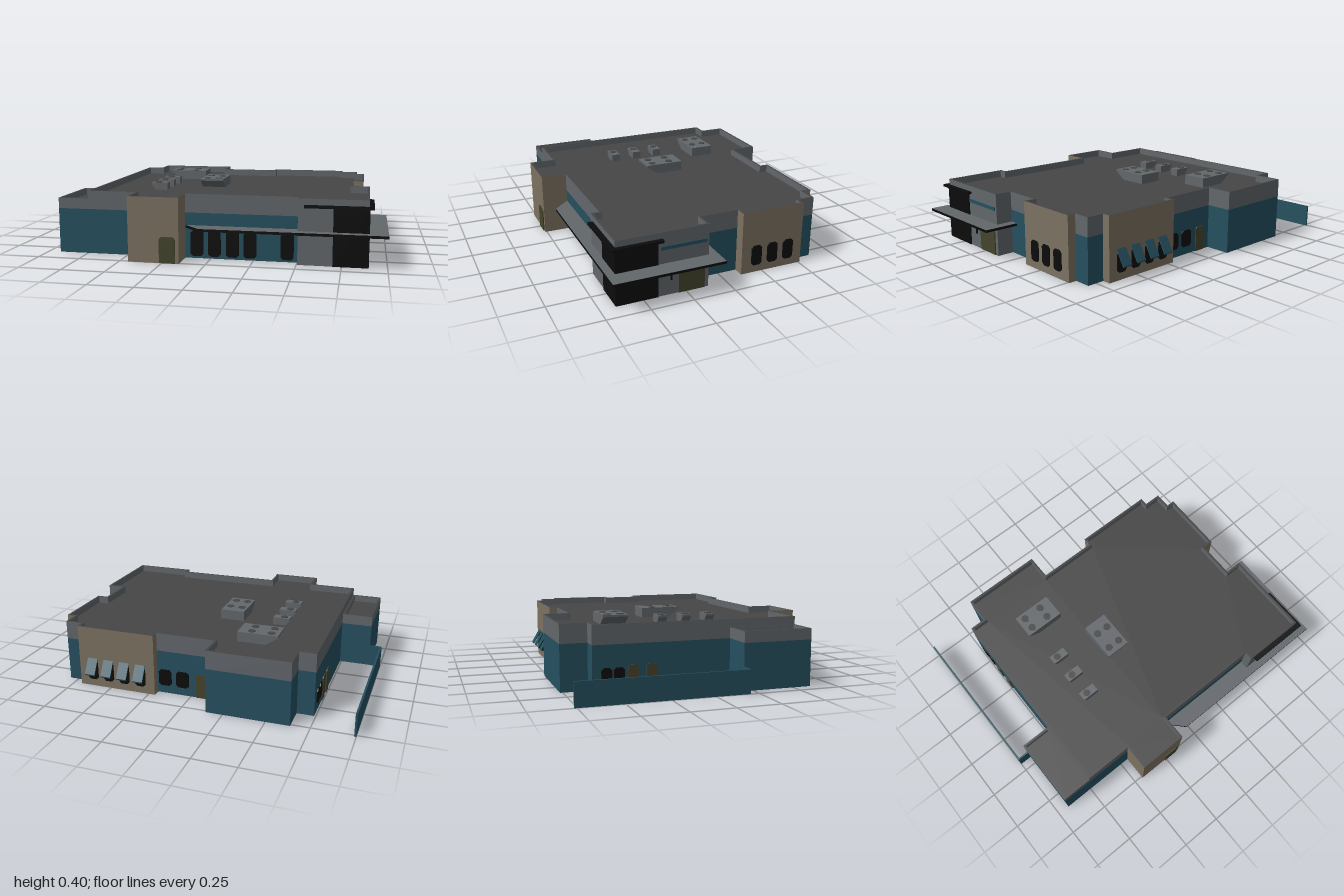
import * as THREE from 'three';

const material = (name, color) => {
  const m = new THREE.MeshStandardMaterial({ color });
  m.name = name;
  return m;
};

export function createModel() {
  const teal = material('teal', 0x25505f);
  const grey = material('grey', 0x62676b);
  const tan = material('tan', 0x7c7261);
  const dark = material('roof grey', 0x464646);
  const black = material('black', 0x0c0c0c);
  const olive = material('olive', 0x45442d);
  const model = new THREE.Group();

  const add = (name, geometry, mat, x = 0, y = 0, z = 0, ry = 0, parent = model) => {
    const mesh = new THREE.Mesh(geometry, mat);
    mesh.name = name;
    mesh.position.set(x, y, z);
    mesh.rotation.y = ry;
    parent.add(mesh);
    return mesh;
  };
  // Box given by its low and high corners
  const box = (name, mat, x0, x1, y0, y1, z0, z1) =>
    add(name, new THREE.BoxGeometry(x1 - x0, y1 - y0, z1 - z0), mat,
      (x0 + x1) / 2, (y0 + y1) / 2, (z0 + z1) / 2);

  const shapeOf = (pts, sign) => new THREE.Shape(pts.map(([x, z]) => new THREE.Vector2(x, sign * z)));
  const flatUp = (pts) => new THREE.ShapeGeometry(shapeOf(pts, -1)).rotateX(-Math.PI / 2);
  const flatDown = (pts) => new THREE.ShapeGeometry(shapeOf(pts, 1)).rotateX(Math.PI / 2);
  const slab = (pts, depth) => new THREE.ExtrudeGeometry(shapeOf(pts, -1),
    { depth, bevelEnabled: false }).rotateX(-Math.PI / 2);

  // Walls, parapet, sunken roof and floor from a right-angled outline.
  // Each corner is [x, z, finish of the wall that starts there].
  function block(name, outline, top, roofY) {
    const group = new THREE.Group();
    group.name = name;
    model.add(group);
    const T = 0.013, BAND = 0.267, n = outline.length;
    const normal = (i) => {
      const a = outline[(i + n) % n], b = outline[(i + 1) % n];
      return [Math.sign(b[1] - a[1]), -Math.sign(b[0] - a[0])];
    };
    const inner = outline.map(([x, z], i) => {
      const p = normal(i - 1), q = normal(i);
      return [x - T * (p[0] + q[0]), z - T * (p[1] + q[1])];
    });
    const faces = new Map();
    const quad = (mat, a, b, c, d) => {
      if (!faces.has(mat)) faces.set(mat, []);
      faces.get(mat).push(...a, ...b, ...c, ...a, ...c, ...d);
    };
    const at = (p, y) => [p[0], y, p[1]];
    outline.forEach((a, i) => {
      const j = (i + 1) % n, b = outline[j], ai = inner[i], bi = inner[j];
      const wall = (mat, y0, y1) => quad(mat, at(b, y0), at(a, y0), at(a, y1), at(b, y1));
      if (a[2]) wall(a[2], 0, top);
      else {
        wall(teal, 0, BAND);
        wall(grey, BAND, top);
      }
      quad(grey, at(ai, roofY), at(bi, roofY), at(bi, top), at(ai, top));
      quad(dark, at(a, top), at(ai, top), at(bi, top), at(b, top));
    });
    for (const [mat, pos] of faces) {
      const g = new THREE.BufferGeometry();
      g.setAttribute('position', new THREE.Float32BufferAttribute(pos, 3));
      g.computeVertexNormals();
      add(mat === dark ? 'parapet cap' : mat.name + ' walls', g, mat, 0, 0, 0, 0, group);
    }
    add('roof', flatUp(inner), dark, 0, roofY, 0, 0, group);
    add('floor', flatDown(outline), dark, 0, 0, 0, 0, group);
  }

  const ROOF = 0.335;
  block('mainBuilding', [
    [-0.74, -0.61], [-0.64, -0.61], [-0.64, -0.765], [-0.15, -0.765], [-0.15, -0.61],
    [0.21, -0.61, tan], [0.21, -0.66, tan], [0.70, -0.66, tan], [0.70, -0.61],
    [0.805, -0.61], [0.805, -0.51, tan], [0.855, -0.51, tan], [0.855, -0.115, tan],
    [0.79, -0.115], [0.79, 0.115, grey], [0.893, 0.115, grey], [0.893, 0.655, grey],
    [0.505, 0.655, grey], [0.505, 0.605], [-0.15, 0.605, tan], [-0.15, 0.76, tan],
    [-0.447, 0.76, tan], [-0.447, 0.605], [-0.74, 0.605],
  ], 0.377, ROOF);
  block('sideAnnex', [[-0.927, 0.193], [-0.74, 0.193], [-0.74, 0.605], [-0.927, 0.605]], 0.33, 0.29);

  // Thin panel with clipped corners; ry turns it from facing +z
  function panel(name, mat, w, y0, y1, x, z, ry, cut = 0.014, low = cut) {
    const h = w / 2;
    const s = new THREE.Shape([
      [-h + low, y0], [h - low, y0], [h, y0 + low], [h, y1 - cut],
      [h - cut, y1], [-h + cut, y1], [-h, y1 - cut], [-h, y0 + low],
    ].map(([a, b]) => new THREE.Vector2(a, b)));
    add(name, new THREE.ExtrudeGeometry(s, { depth: 0.006, bevelEnabled: false }), mat, x, 0, z, ry);
  }
  const BACK = Math.PI, EAST = Math.PI / 2, WEST = -Math.PI / 2;

  // Windows and doors
  for (const x of [-0.08, 0.022, 0.128, 0.23, 0.443]) panel('frontWindow', black, 0.075, 0.013, 0.165, x, 0.605, 0);
  for (const z of [-0.21, -0.313, -0.417]) panel('sideWindow', black, 0.066, 0.045, 0.167, 0.855, z, EAST);
  for (const x of [0.16, 0.05]) panel('backWindow', black, 0.08, 0.05, 0.15, x, -0.61, BACK);
  for (const z of [-0.53, -0.46]) panel('westWindow', black, 0.06, 0.05, 0.14, -0.74, z, WEST);
  panel('frontDoor', olive, 0.093, 0.001, 0.152, -0.217, 0.76, 0, 0.014, 0.001);
  panel('entranceDoor', olive, 0.157, 0.001, 0.155, 0.893, 0.218, EAST, 0.006, 0.001);
  panel('backDoor', olive, 0.07, 0.001, 0.15, -0.07, -0.61, BACK, 0.008, 0.001);
  for (const z of [-0.38, -0.275]) panel('westDoor', olive, 0.06, 0.001, 0.15, -0.74, z, WEST, 0.008, 0.001);
  box('doorHandle', black, 0.893, 0.902, 0.09, 0.125, 0.335, 0.345);

  // Back bay windows with sloping awnings
  const awning = new THREE.ExtrudeGeometry(new THREE.Shape([
    new THREE.Vector2(0, 0.168), new THREE.Vector2(0.048, 0.085),
    new THREE.Vector2(0.05, 0.093), new THREE.Vector2(0, 0.18),
  ]), { depth: 0.064, bevelEnabled: false });
  for (const x of [0.3, 0.405, 0.508, 0.612]) {
    panel('bayWindow', black, 0.066, 0.045, 0.167, x, -0.66, BACK);
    add('awning', awning, teal, x - 0.032, 0, -0.66, Math.PI / 2);
  }

  // Dark glazed corner and coloured stripe
  box('cornerGlassFront', black, 0.70, 0.898, 0, 0.33, 0.652, 0.66);
  box('cornerGlassSide', black, 0.89, 0.898, 0, 0.33, 0.415, 0.66);
  box('wallStripe', teal, 0.89, 0.898, 0.275, 0.295, 0.13, 0.40);

  // Wraparound canopy and the smaller one above it
  const canopy = [
    [-0.15, 0.605], [-0.05, 0.707], [1, 0.707], [1, 0.062], [0.79, 0.062],
    [0.79, 0.115], [0.893, 0.115], [0.893, 0.655], [0.505, 0.655], [0.505, 0.605],
  ];
  add('canopy', slab(canopy, 0.014), black, 0, 0.178, 0);
  add('canopyTop', flatUp(canopy), grey, 0, 0.1935, 0);
  add('upperCanopy', slab([
    [0.54, 0.655], [0.54, 0.685], [0.92, 0.685], [0.92, 0.39], [0.893, 0.39], [0.893, 0.655],
  ], 0.014), black, 0, 0.328, 0);

  // Low screen wall
  box('screenWall', teal, -1, -0.989, 0, 0.135, -0.765, 0.2);
  box('screenWallReturn', teal, -0.989, -0.927, 0, 0.135, 0.19, 0.2);

  // Rooftop units with an overhanging hood and fans
  function roofUnit(name, x, z, ry, len, depth, h, under, fans, r) {
    const unit = new THREE.Group();
    unit.name = name;
    unit.position.set(x, ROOF, z);
    unit.rotation.y = ry;
    model.add(unit);
    const profile = new THREE.Shape([[under, 0], [len, 0], [len, h], [0, h], [0, h - 0.012]]
      .map(([a, b]) => new THREE.Vector2(a, b)));
    add('unitBody', new THREE.ExtrudeGeometry(profile, { depth, bevelEnabled: false }), grey, 0, 0, 0, 0, unit);
    for (const [fx, fz] of fans)
      add('fan', new THREE.CylinderGeometry(r, r, 0.003, 16), dark, fx, h + 0.001, fz, 0, unit);
  }
  const four = [[0.048, 0.038], [0.165, 0.038], [0.048, 0.113], [0.165, 0.113]];
  roofUnit('largeRoofUnit', -0.485, -0.48, 0, 0.243, 0.15, 0.06, 0.07, four, 0.023);
  roofUnit('largeRoofUnit', -0.18, 0.092, Math.PI / 2, 0.243, 0.15, 0.06, 0.07, four, 0.023);
  for (const z of [-0.115, 0.035, 0.185])
    roofUnit('smallRoofUnit', -0.47, z - 0.027, 0, 0.104, 0.054, 0.045, 0.025, [[0.04, 0.027]], 0.022);

  return model;
}
